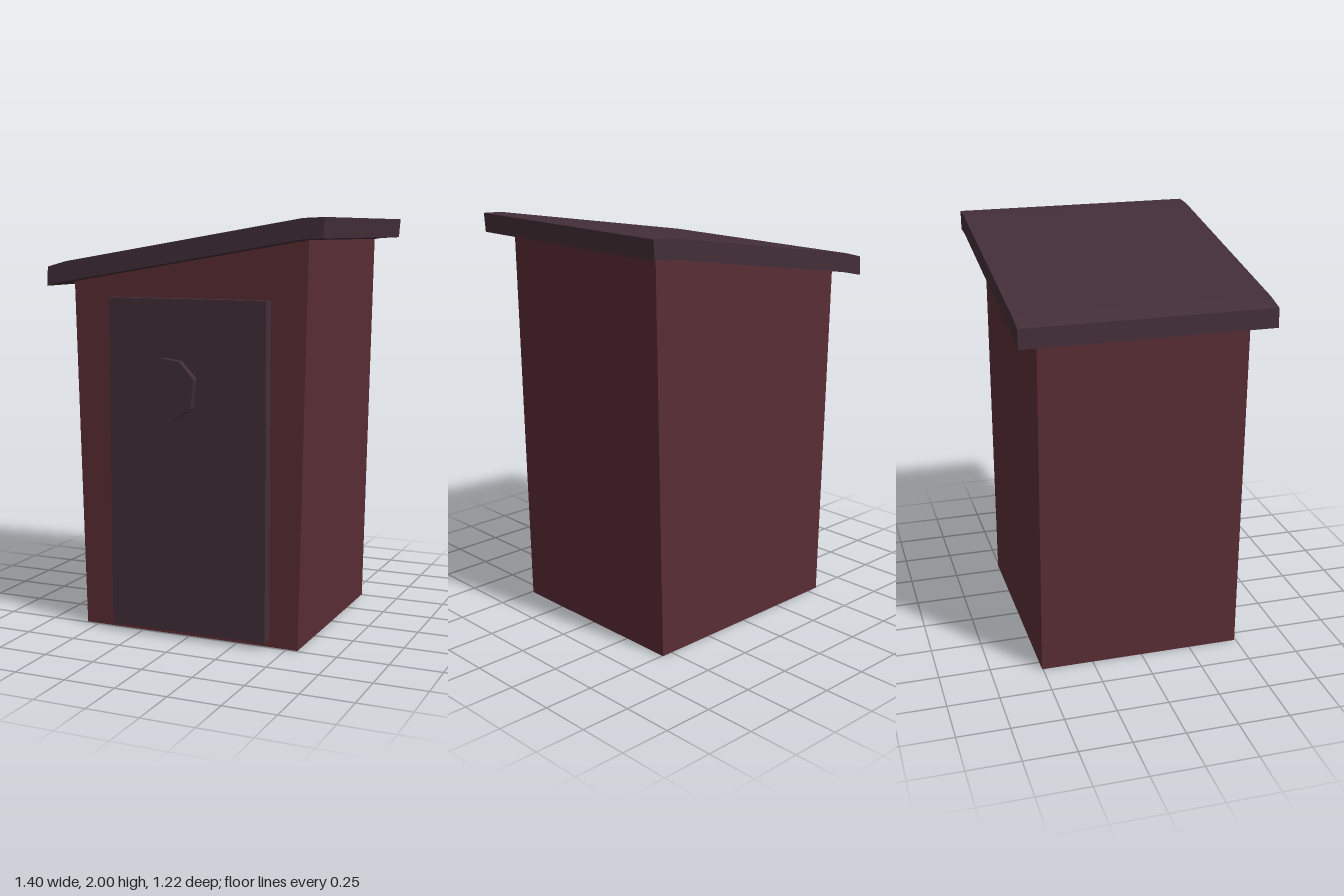
import * as THREE from 'three';

const wallRed = new THREE.MeshStandardMaterial({ color: 0x5a2d35 });
wallRed.name = 'wallRed';
const darkPlum = new THREE.MeshStandardMaterial({ color: 0x432e37 });
darkPlum.name = 'darkPlum';

// Extrudes a front-facing outline between two z positions
function slab(name, outline, zBack, zFront, material) {
  const shape = new THREE.Shape(outline.map(([x, y]) => new THREE.Vector2(x, y)));
  const geometry = new THREE.ExtrudeGeometry(shape, { depth: zFront - zBack, bevelEnabled: false });
  geometry.translate(0, 0, zBack);
  const mesh = new THREE.Mesh(geometry, material);
  mesh.name = name;
  return mesh;
}

export function createModel() {
  const model = new THREE.Group();
  model.name = 'outhouse';

  // Walls: flare outward toward a sloping top
  const walls = [[-0.565, 0], [0.555, 0], [0.593, 1.9], [-0.605, 1.7]];
  model.add(slab('walls', walls, -0.505, 0.492, wallRed));

  // Roof: sloping board with flatter eaves at both ends
  const roof = [
    [-0.7, 1.68], [-0.605, 1.703], [0.593, 1.903], [0.693, 1.908],
    [0.7, 2], [0.6, 1.996], [-0.597, 1.798], [-0.695, 1.772],
  ];
  model.add(slab('roof', roof, -0.607, 0.59, darkPlum));

  // Door: thick panel set slightly off centre
  const door = [[-0.388, 0.035], [0.413, 0.035], [0.413, 1.63], [-0.388, 1.63]];
  model.add(slab('door', door, 0.49, 0.551, darkPlum));

  // Crescent ornament standing just clear of the door
  const crescent = [
    [-0.118, 1.082], [-0.024, 1.07], [0.063, 1.128], [0.08, 1.265],
    [0.008, 1.345], [-0.087, 1.358], [-0.013, 1.287], [-0.029, 1.142],
  ];
  model.add(slab('crescentMoon', crescent, 0.574, 0.61, darkPlum));

  return model;
}
